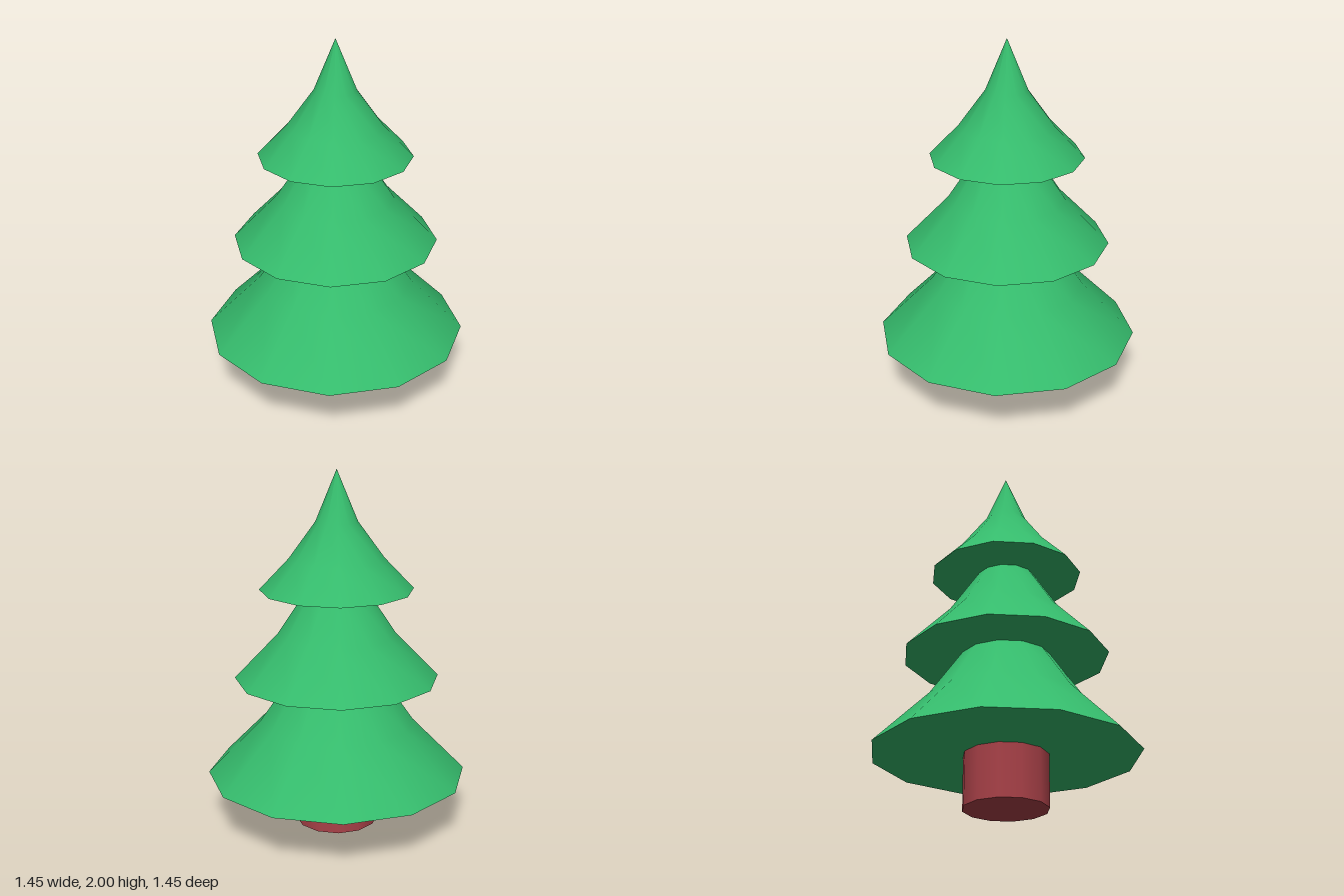
import * as THREE from 'three';

const SIDES = 12;

export function createModel() {
  const leafGreen = new THREE.MeshStandardMaterial({ color: 0x35bb6c });
  leafGreen.name = 'leafGreen';
  const barkRed = new THREE.MeshStandardMaterial({ color: 0xa94148 });
  barkRed.name = 'barkRed';

  const tree = new THREE.Group();
  tree.name = 'tree';

  // Trunk
  const trunk = new THREE.Mesh(new THREE.CylinderGeometry(0.23, 0.23, 0.29, SIDES), barkRed);
  trunk.name = 'trunk';
  trunk.position.y = 0.145;
  tree.add(trunk);

  // Foliage tiers: flared skirts, profile [radius, height] from rim to tip
  const tiers = {
    lowerFoliage: [[0.725, 0.29], [0.43, 0.59], [0.25, 0.85], [0, 1.18]],
    middleFoliage: [[0.565, 0.85], [0.325, 1.1], [0.16, 1.35], [0, 1.58]],
    upperFoliage: [[0.422, 1.35], [0.26, 1.52], [0.115, 1.72], [0, 2]],
  };
  for (const [name, profile] of Object.entries(tiers)) {
    const tier = new THREE.Group();
    tier.name = name;

    const points = profile.map(([r, y]) => new THREE.Vector2(r, y));
    const skirt = new THREE.Mesh(new THREE.LatheGeometry(points, SIDES), leafGreen);
    skirt.name = 'skirt';

    // Flat underside closing the rim
    const [rimRadius, rimHeight] = profile[0];
    const underside = new THREE.Mesh(
      new THREE.CircleGeometry(rimRadius, SIDES).rotateX(Math.PI / 2), leafGreen);
    underside.name = 'underside';
    underside.position.y = rimHeight;

    tier.add(skirt, underside);
    tree.add(tier);
  }
  return tree;
}
